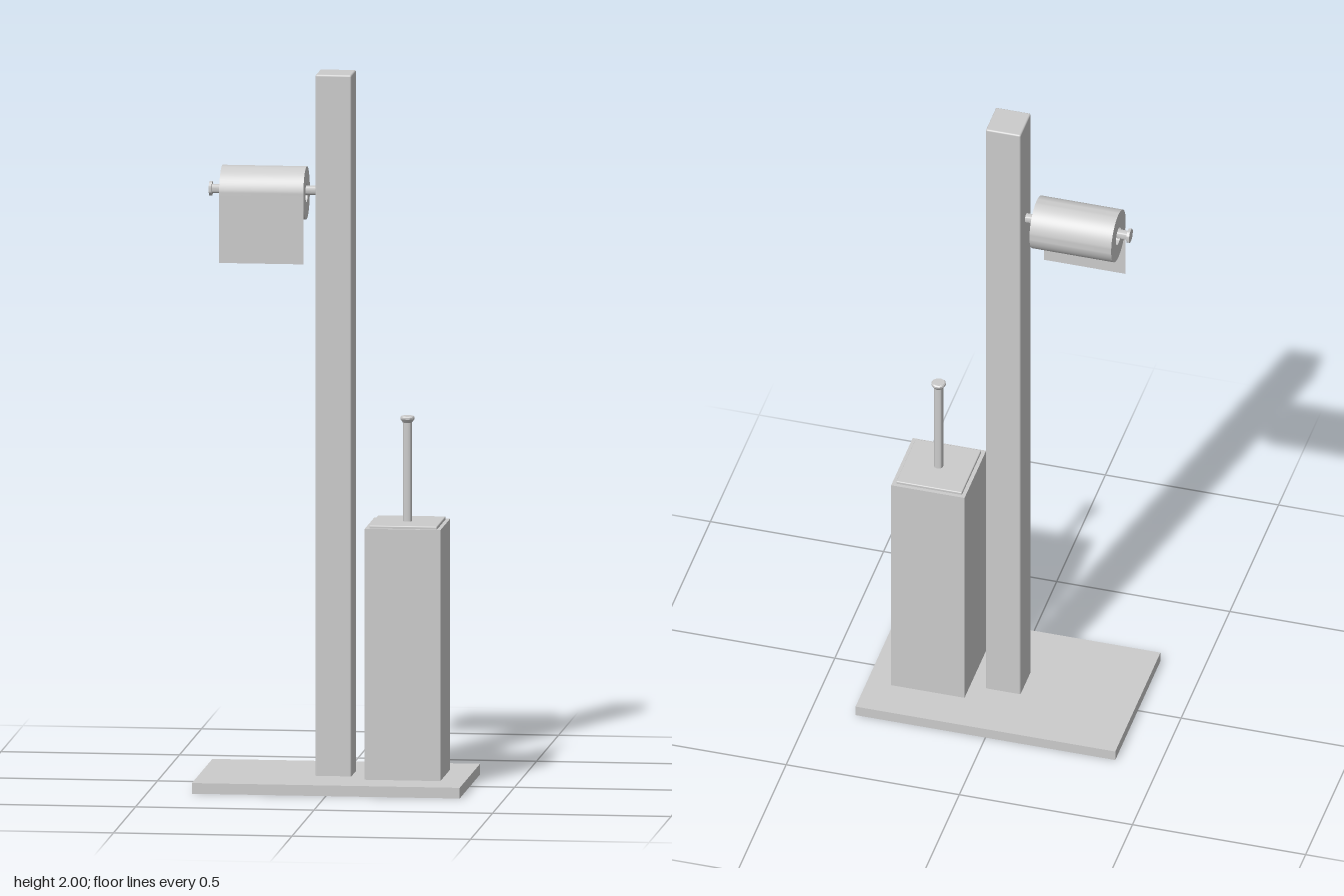
import * as THREE from 'three';
import { RoundedBoxGeometry } from 'three/addons/geometries/RoundedBoxGeometry.js';
import { toCreasedNormals } from 'three/addons/utils/BufferGeometryUtils.js';

const grey = new THREE.MeshStandardMaterial({ color: 0xcccccc });
const greyThin = new THREE.MeshStandardMaterial({ color: 0xcccccc, side: THREE.DoubleSide });

function add(parent, name, geometry, x, y, z, material = grey) {
  const mesh = new THREE.Mesh(geometry, material);
  mesh.name = name;
  mesh.position.set(x, y, z);
  parent.add(mesh);
  return mesh;
}

// Turned part from [radius, height] pairs, with crisp edges
function turned(points, segments = 48) {
  const profile = points.map(([r, h]) => new THREE.Vector2(r, h));
  return toCreasedNormals(new THREE.LatheGeometry(profile, segments), 0.6);
}

// Rectangular tray opening downwards: a thin top with four thin walls
function buildBase() {
  const base = new THREE.Group();
  base.name = 'base';
  const w = 0.75, d = 0.464, h = 0.03, t = 0.004;
  add(base, 'baseTop', new THREE.BoxGeometry(w, t, d), 0, h - t / 2, 0);
  for (const s of [-1, 1]) {
    add(base, 'baseLongWall', new THREE.BoxGeometry(w, h - t, t), 0, (h - t) / 2, s * (d - t) / 2);
    add(base, 'baseShortWall', new THREE.BoxGeometry(t, h - t, d - 2 * t), s * (w - t) / 2, (h - t) / 2, 0);
  }
  return base;
}

// Square canister with an inset lid and a brush handle
function buildBrushHolder() {
  const holder = new THREE.Group();
  holder.name = 'brushHolder';
  holder.position.set(0.2, 0, -0.001);
  add(holder, 'canister', new THREE.BoxGeometry(0.212, 0.705, 0.222), 0, 0.3825, 0);
  add(holder, 'lid', new RoundedBoxGeometry(0.19, 0.014, 0.2, 2, 0.003), 0, 0.736, 0);
  add(holder, 'brushHandle', turned([
    [0, 0.735], [0.013, 0.735], [0.013, 1.02], [0.02, 1.03], [0.02, 1.035], [0.017, 1.038], [0, 1.038],
  ], 32), 0, 0, 0);
  return holder;
}

// Horizontal rod with end stop, carrying a hollow roll and its hanging sheet
function buildRollHolder() {
  const holder = new THREE.Group();
  holder.name = 'rollHolder';
  holder.position.set(0, 1.66, 0.003);

  const rod = add(holder, 'rod', turned([
    [0, 0.04], [0.013, 0.04], [0.013, 0.346], [0.02, 0.346], [0.02, 0.354], [0, 0.354],
  ], 32), 0, 0.008, 0);
  rod.rotation.z = Math.PI / 2;

  const r = 0.0745, core = 0.026, half = 0.118;
  const roll = add(holder, 'paperRoll', turned([
    [core, -half], [r, -half], [r, half], [core, half], [core, -half],
  ], 64), -0.2, 0, 0);
  roll.rotation.z = Math.PI / 2;

  add(holder, 'hangingSheet', new THREE.PlaneGeometry(2 * half, 0.19), -0.2, -0.095, r, greyThin);
  return holder;
}

export function createModel() {
  const model = new THREE.Group();
  model.name = 'bathroomStand';
  model.add(buildBase());

  // Upright post with softly rounded edges
  add(model, 'post', new RoundedBoxGeometry(0.101, 1.975, 0.107, 3, 0.005), -0.001, 1.0125, -0.001);

  model.add(buildBrushHolder(), buildRollHolder());
  return model;
}
